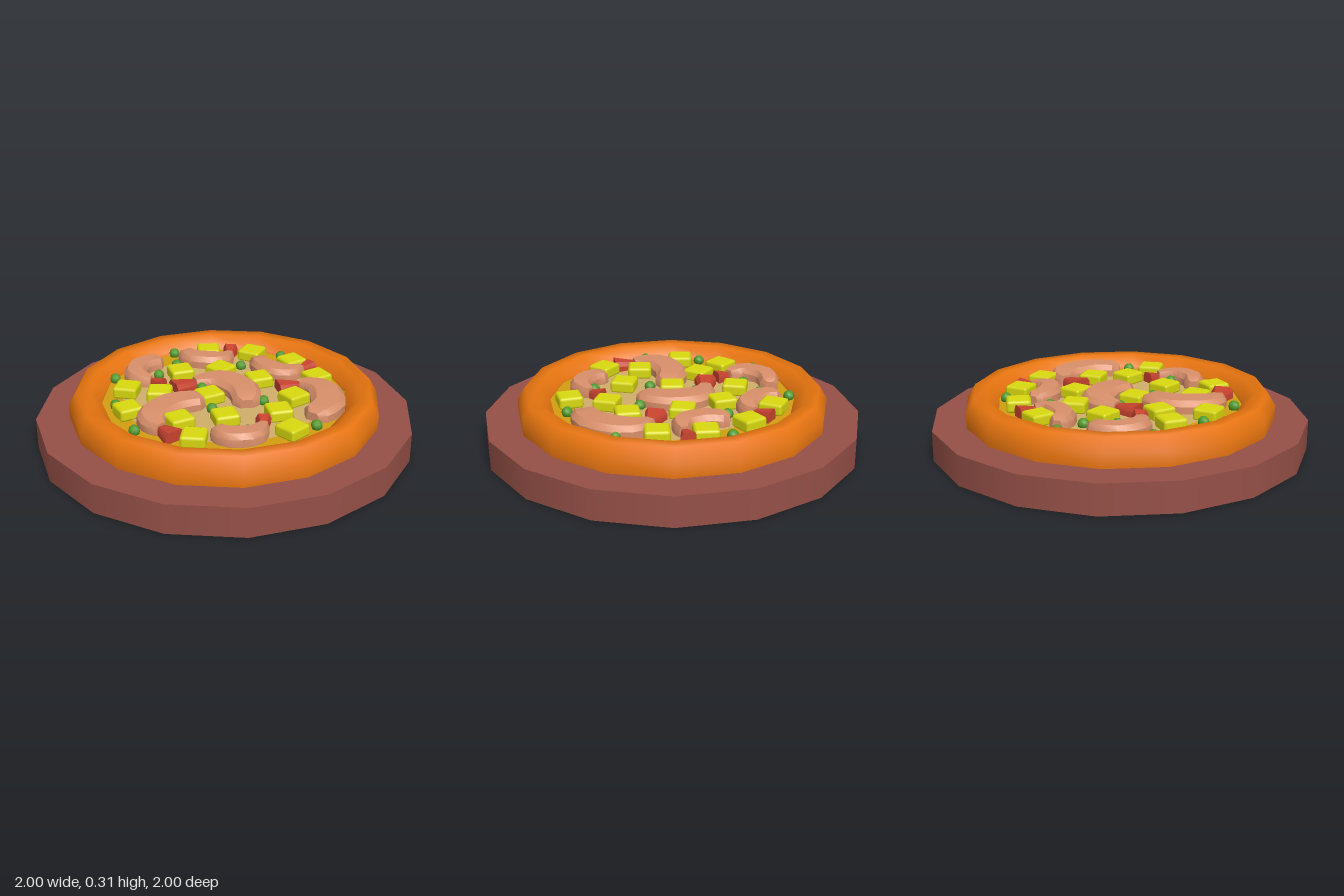
import * as THREE from 'three';
import { toCreasedNormals } from 'three/addons/utils/BufferGeometryUtils.js';
import { RoundedBoxGeometry } from 'three/addons/geometries/RoundedBoxGeometry.js';

const SIDES = 16, BOARD_TOP = 0.16, CHEESE_Y = 0.235;

function material(name, color, side = THREE.FrontSide) {
  const m = new THREE.MeshStandardMaterial({ color, side });
  m.name = name;
  return m;
}

// Loft of six-sided, flat-bottomed sections along a path of [x, z, width, height]
function loft(sections) {
  const outline = [[0.5, 0], [0.5, 0.6], [0.34, 1], [-0.34, 1], [-0.5, 0.6], [-0.5, 0]];
  const n = outline.length, pos = [], idx = [];
  sections.forEach(([x, z, w, h], i) => {
    const a = sections[Math.max(i - 1, 0)], b = sections[Math.min(i + 1, sections.length - 1)];
    const dx = b[0] - a[0], dz = b[1] - a[1], len = Math.hypot(dx, dz);
    for (const [s, y] of outline) pos.push(x - dz / len * s * w, y * h, z + dx / len * s * w);
  });
  const last = (sections.length - 1) * n;
  for (let r = 0; r < last; r += n) {
    for (let j = 0; j < n; j++) {
      const a = r + j, b = r + (j + 1) % n;
      idx.push(a, a + n, b, b, a + n, b + n);
    }
  }
  for (let j = 1; j < n - 1; j++) idx.push(0, j, j + 1, last, last + j + 1, last + j);
  const g = new THREE.BufferGeometry();
  g.setAttribute('position', new THREE.Float32BufferAttribute(pos, 3));
  g.setIndex(idx);
  return toCreasedNormals(g, 0.6);
}

export function createModel() {
  const model = new THREE.Group();
  const mats = {
    wood: material('board brown', 0x955047, THREE.DoubleSide),
    crust: material('crust orange', 0xe6740f),
    cheese: material('cheese yellow', 0xd29d10),
    melted: material('melted cheese tan', 0xd0ae6b),
    shrimp: material('shrimp pink', 0xd88f6a),
    tail: material('tail red', 0xc8432f),
    pineapple: material('pineapple yellow', 0xd8d80f),
    pea: material('pea green', 0x529a2c),
  };
  const add = (name, geometry, mat, parent = model) => {
    const mesh = new THREE.Mesh(geometry, mat);
    mesh.name = name;
    parent.add(mesh);
    return mesh;
  };

  // Board, open underneath
  add('boardRim', new THREE.CylinderGeometry(1, 1, BOARD_TOP, SIDES, 1, true), mats.wood).position.y = BOARD_TOP / 2;
  add('boardTop', new THREE.CircleGeometry(1, SIDES).rotateX(-Math.PI / 2), mats.wood).position.y = BOARD_TOP;

  // Raised crust ring
  const profile = [[0.822, BOARD_TOP], [0.825, 0.235], [0.783, 0.305], [0.715, 0.305], [0.655, 0.25], [0.648, 0.225]];
  add('crust', new THREE.LatheGeometry(profile.map(([r, y]) => new THREE.Vector2(r, y)), SIDES), mats.crust);

  // Cheese and the paler melted patch
  add('cheese', new THREE.CircleGeometry(0.66, SIDES).rotateX(-Math.PI / 2), mats.cheese).position.y = CHEESE_Y;
  const radii = [0.56, 0.5, 0.54, 0.56, 0.52, 0.57, 0.54, 0.55, 0.53, 0.52, 0.54, 0.53, 0.55, 0.5];
  const patch = new THREE.Shape(radii.map((r, i) => {
    const a = i / radii.length * Math.PI * 2;
    return new THREE.Vector2(r * Math.cos(a), r * Math.sin(a));
  }));
  add('meltedCheese', new THREE.ShapeGeometry(patch).rotateX(-Math.PI / 2), mats.melted).position.y = CHEESE_Y + 0.004;

  // Shrimp: body path from head to tail root, tail tip, width
  const shrimps = [
    [[[-0.14, -0.53], [-0.26, -0.515], [-0.325, -0.425], [-0.31, -0.35], [-0.28, -0.315]], [-0.25, -0.245], 0.125],
    [[[0.045, -0.545], [0.065, -0.46], [0.14, -0.4], [0.215, -0.385], [0.265, -0.42]], [0.315, -0.5], 0.125],
    [[[0.36, -0.26], [0.35, -0.16], [0.39, -0.07], [0.46, -0.045], [0.515, -0.055]], [0.595, -0.075], 0.13],
    [[[0.05, 0.145], [0.1, 0.02], [0.075, -0.105], [0, -0.165], [-0.085, -0.18]], [-0.21, -0.185], 0.18],
    [[[-0.175, 0.02], [-0.315, 0], [-0.435, 0.055], [-0.485, 0.145], [-0.475, 0.215]], [-0.455, 0.325], 0.18],
    [[[0.285, 0.45], [0.395, 0.395], [0.465, 0.27], [0.45, 0.165], [0.4, 0.115]], [0.28, 0.085], 0.18],
    [[[-0.255, 0.385], [-0.215, 0.46], [-0.135, 0.495], [-0.06, 0.475], [-0.015, 0.435]], [0.02, 0.37], 0.12],
  ];
  const widths = [0.8, 1, 1, 0.75, 0.4];
  for (const [path, tip, w] of shrimps) {
    const shrimp = new THREE.Group();
    shrimp.name = 'shrimp';
    shrimp.position.y = CHEESE_Y;
    model.add(shrimp);
    const curve = new THREE.CatmullRomCurve3(path.map(([x, z], i) => new THREE.Vector3(x, widths[i], z)));
    const body = curve.getPoints(8).map((p) => [p.x, p.z, p.y * w, 0.05 + 0.02 * Math.min(p.y, 1)]);
    // Narrow rounded nose in front of the first section
    const [a, b] = path, d = Math.hypot(a[0] - b[0], a[1] - b[1]);
    body.unshift([a[0] + (a[0] - b[0]) / d * w * 0.2, a[1] + (a[1] - b[1]) / d * w * 0.2, w * 0.4, 0.05]);
    add('shrimpBody', loft(body), mats.shrimp, shrimp);
    const root = path[4];
    add('shrimpTail', loft([[...root, w * 0.3, 0.045], [...tip, w * 0.66, 0.06]]), mats.tail, shrimp);
  }

  // Pineapple chunks: x, z, turn in degrees
  const chunks = [
    [0.18, -0.52, -25], [0.39, -0.38, 35], [-0.09, -0.34, -10], [0.12, -0.26, 18], [-0.44, -0.28, -40],
    [-0.31, -0.15, -32], [-0.54, -0.05, 0], [0.52, -0.16, 4], [0.24, -0.05, -8], [-0.09, 0, 0],
    [0.53, 0.08, 3], [-0.36, 0.18, 0], [-0.14, 0.26, -12], [0.29, 0.23, 8], [0.13, 0.34, -15],
    [-0.38, 0.38, -35], [0.085, 0.54, 16],
  ];
  const chunkGeometry = new RoundedBoxGeometry(0.13, 0.065, 0.13, 1, 0.016);
  for (const [x, z, turn] of chunks) {
    const chunk = add('pineappleChunk', chunkGeometry, mats.pineapple);
    chunk.position.set(x, CHEESE_Y + 0.03, z);
    chunk.rotation.y = THREE.MathUtils.degToRad(turn);
  }

  // Peas
  const peas = [
    [0.01, -0.62], [-0.43, -0.46], [-0.2, -0.39], [-0.05, -0.47], [0.26, -0.28], [0.53, -0.29], [-0.56, -0.16],
    [-0.07, -0.125], [-0.595, 0.15], [-0.14, 0.12], [0.14, 0.17], [0.54, 0.28], [-0.1, 0.42], [0.23, 0.54],
  ];
  const peaGeometry = new THREE.SphereGeometry(0.03, 8, 6);
  for (const [x, z] of peas) add('pea', peaGeometry, mats.pea).position.set(x, CHEESE_Y + 0.018, z);

  return model;
}
